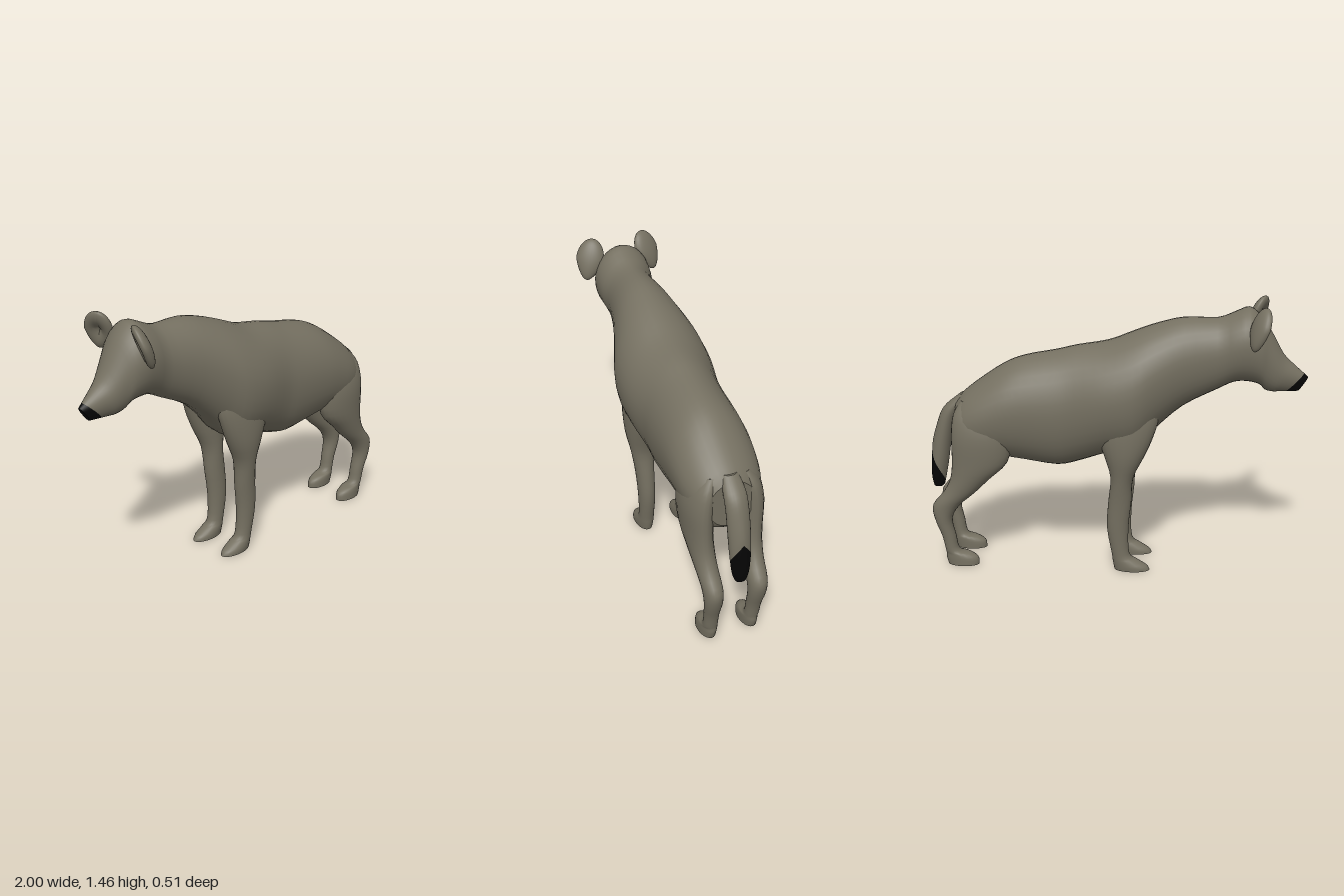
import * as THREE from 'three';

// Smooth in-between rows for a table of cross-sections
function refine(rows, steps) {
  const out = [];
  const at = i => rows[Math.max(0, Math.min(rows.length - 1, i))];
  for (let i = 0; i < rows.length - 1; i++) {
    for (let s = 0; s < steps; s++) {
      const t = s / steps;
      out.push(rows[i].map((b, k) => {
        const a = at(i - 1)[k], c = at(i + 1)[k], d = at(i + 2)[k];
        return b + 0.5 * t * (c - a + t * (2 * a - 5 * b + 4 * c - d + t * (3 * (b - c) + d - a)));
      }));
    }
  }
  out.push(rows[rows.length - 1]);
  return out;
}

// Closed skin over rings; the first tipRows bands take the second material
function loft(name, rows, ringPoint, materials, tipRows = 0, sides = 24, steps = 3) {
  const rings = refine(rows, steps), pos = [], tip = [], main = [];
  const addRing = r => {
    for (let j = 0; j < sides; j++) pos.push(...ringPoint(r, j / sides * Math.PI * 2));
  };
  rings.forEach(addRing);
  for (let i = 0; i < rings.length - 1; i++) {
    const list = i < tipRows * steps ? tip : main;
    for (let j = 0; j < sides; j++) {
      const a = i * sides + j, b = i * sides + (j + 1) % sides;
      list.push(a, b, b + sides, a, b + sides, a + sides);
    }
  }
  // End caps with their own corners, so their edges stay sharp
  [rings[0], rings[rings.length - 1]].forEach((r, end) => {
    const base = pos.length / 3, list = !end && tipRows ? tip : main;
    addRing(r);
    const c = [0, 0, 0];
    for (let k = 0; k < sides * 3; k++) c[k % 3] += pos[base * 3 + k] / sides;
    pos.push(...c);
    for (let j = 0; j < sides; j++) {
      const a = base + j, b = base + (j + 1) % sides;
      if (end) list.push(a, b, base + sides); else list.push(b, a, base + sides);
    }
  });
  const g = new THREE.BufferGeometry();
  g.setAttribute('position', new THREE.Float32BufferAttribute(pos, 3));
  g.setIndex([...main, ...tip]);
  g.addGroup(0, main.length, 0);
  if (tip.length) g.addGroup(main.length, tip.length, 1);
  g.computeVertexNormals();
  const mesh = new THREE.Mesh(g, tip.length ? materials : materials[0]);
  mesh.name = name;
  return mesh;
}

// Upright ring for the body: [x, top, bottom, half width, slant], fuller below the middle
const bodyRing = ([x, top, bottom, w, slant], a) => {
  const mid = bottom + (top - bottom) * 0.52, c = Math.cos(a), s = Math.sin(a);
  const z = w * Math.sign(s) * Math.abs(s) ** (c > 0 ? 1.08 : 0.85);
  return [x + slant * (1 - c) / 2, mid + c * (c > 0 ? top - mid : mid - bottom), z];
};

// Level ring for limbs: [y, x from, x to, z from, z to, peak], peak lifts the rear edge
const limbRing = side => ([y, x0, x1, z0, z1, peak], a) => {
  const s = Math.sin(a);
  return [(x0 + x1) / 2 + s * (x1 - x0) / 2, y + peak * (0.5 + Math.asin(s) / Math.PI),
    side * (z0 + z1) / 2 + Math.cos(a) * (z1 - z0) / 2];
};

export function createModel() {
  const model = new THREE.Group();
  const fur = new THREE.MeshStandardMaterial({ color: 0x757061 });
  fur.name = 'grey brown fur';
  const black = new THREE.MeshStandardMaterial({ color: 0x050505 });
  black.name = 'black';
  const mats = [fur, black];

  // Head, neck and trunk in one skin, with the black nose as its tip
  model.add(loft('headAndBody', [
    [-1.0, 1.078, 1.003, 0.024, 0.05],
    [-0.978, 1.098, 1.0, 0.043, 0.095],
    [-0.93, 1.14, 1.0, 0.064, 0.085],
    [-0.87, 1.2, 1.0, 0.085, 0.05],
    [-0.8, 1.325, 1.01, 0.11, 0.02],
    [-0.75, 1.395, 1.04, 0.135, 0],
    [-0.69, 1.44, 1.055, 0.152, 0],
    [-0.62, 1.415, 1.05, 0.148, 0],
    [-0.53, 1.382, 1.005, 0.135, 0],
    [-0.36, 1.38, 0.915, 0.168, 0],
    [-0.22, 1.345, 0.79, 0.215, 0],
    [-0.11, 1.305, 0.67, 0.25, 0],
    [0.03, 1.25, 0.65, 0.25, 0],
    [0.19, 1.222, 0.595, 0.22, 0],
    [0.3, 1.195, 0.572, 0.217, 0],
    [0.47, 1.16, 0.595, 0.217, 0],
    [0.58, 1.115, 0.61, 0.215, 0],
    [0.7, 1.035, 0.61, 0.203, 0],
    [0.79, 0.965, 0.62, 0.172, 0],
    [0.835, 0.915, 0.66, 0.12, 0],
  ], bodyRing, mats, 1, 32));

  const frontLeg = [
    [0.006, -0.2, -0.01, 0.065, 0.158, 0],
    [0.03, -0.185, -0.005, 0.063, 0.16, 0],
    [0.06, -0.135, 0, 0.065, 0.157, 0],
    [0.1, -0.09, 0.005, 0.07, 0.153, 0],
    [0.25, -0.085, 0.03, 0.068, 0.16, 0],
    [0.4, -0.1, 0.022, 0.068, 0.17, 0],
    [0.54, -0.11, 0.01, 0.065, 0.19, 0],
    [0.66, -0.165, 0.04, 0.06, 0.213, 0],
    [0.78, -0.215, 0.08, 0.06, 0.217, 0],
    [0.9, -0.24, 0.08, 0.06, 0.205, 0],
    [1.05, -0.2, 0.06, 0.08, 0.18, 0],
  ];
  const hindLeg = [
    [0.006, 0.73, 0.9, 0.068, 0.158, 0],
    [0.045, 0.735, 0.91, 0.066, 0.158, 0],
    [0.07, 0.775, 0.91, 0.068, 0.155, 0],
    [0.09, 0.835, 0.912, 0.075, 0.152, 0],
    [0.17, 0.852, 0.928, 0.075, 0.155, 0],
    [0.27, 0.868, 0.962, 0.07, 0.165, 0],
    [0.35, 0.825, 0.968, 0.068, 0.17, 0],
    [0.43, 0.735, 0.905, 0.067, 0.178, 0],
    [0.51, 0.655, 0.865, 0.064, 0.19, 0],
    [0.61, 0.555, 0.852, 0.06, 0.203, 0],
    [0.75, 0.53, 0.85, 0.055, 0.208, 0],
    [0.86, 0.54, 0.838, 0.05, 0.18, 0],
    [0.93, 0.58, 0.8, 0.04, 0.13, 0],
  ];

  // Cupped ear: a flattened ball, narrow at the root, with its front pressed in
  const earShape = new THREE.SphereGeometry(1, 28, 20);
  const p = earShape.attributes.position;
  for (let i = 0; i < p.count; i++) {
    const y = p.getY(i), z = p.getZ(i), r = Math.hypot(y, z);
    const x = p.getX(i) < 0 ? p.getX(i) * (0.7 - 1.1 * (1 - r) * (1 - r)) : p.getX(i);
    const taper = y < 0 ? 1 + 0.35 * y : 1;
    p.setXYZ(i, x * 0.04, y * 0.113, z * 0.076 * taper);
  }
  earShape.computeVertexNormals();

  [1, -1].forEach(side => {
    const tag = side > 0 ? 'Near' : 'Far';
    model.add(loft('frontLeg' + tag, frontLeg, limbRing(side), mats));
    model.add(loft('hindLeg' + tag, hindLeg, limbRing(side), mats));
    const ear = new THREE.Mesh(earShape, fur);
    ear.name = 'ear' + tag;
    ear.position.set(-0.742, 1.36, side * 0.164);
    ear.rotation.set(side * -0.15, side * -0.5, 0.3);
    model.add(ear);
  });

  // Tail with a black tip that rises to a point behind
  model.add(loft('tail', [
    [0.415, 0.937, 0.985, -0.028, 0.028, 0.005],
    [0.425, 0.928, 0.995, -0.042, 0.042, 0.07],
    [0.445, 0.922, 0.985, -0.052, 0.052, 0.2],
    [0.55, 0.9, 0.975, -0.056, 0.056, 0.15],
    [0.66, 0.882, 0.957, -0.058, 0.058, 0.1],
    [0.78, 0.855, 0.928, -0.058, 0.058, 0.06],
    [0.87, 0.815, 0.89, -0.056, 0.056, 0.02],
    [0.945, 0.76, 0.82, -0.04, 0.04, 0],
  ], limbRing(0), mats, 2, 24));

  return model;
}
